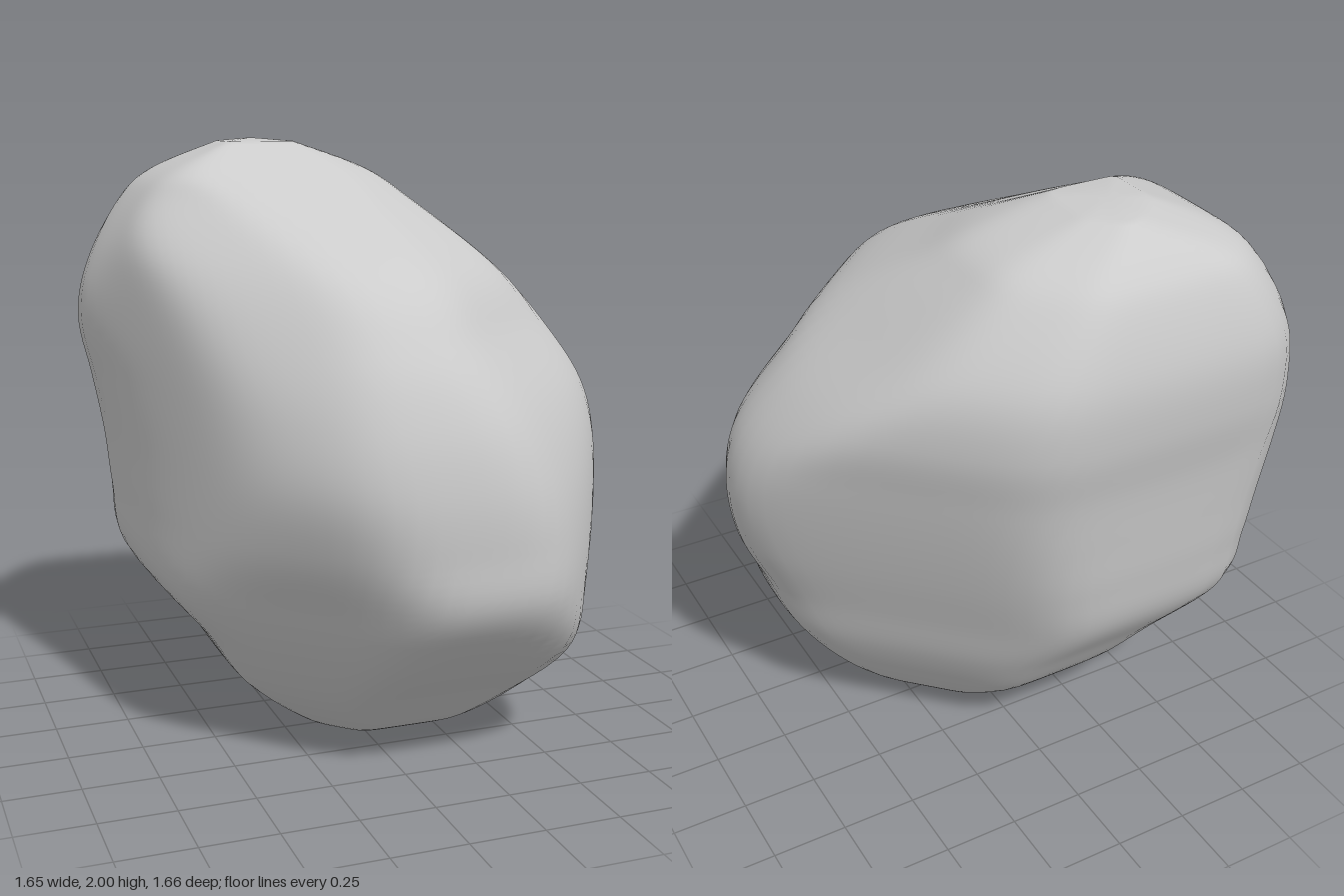
import * as THREE from 'three';

// Horizontal directions in which the boulder's reach is measured: [x, z]
const q = Math.SQRT1_2;
const DIRS = [[-1, 0], [1, 0], [0, -1], [0, 1], [-q, -q], [q, q], [-q, q], [q, -q]];

// Height, then the reach along each direction above
const LEVELS = [
  [0.01, 0.08, 0.20, 0.12, 0.10, 0.14, 0.20, 0.10, 0.12],
  [0.05, 0.20, 0.33, 0.18, 0.24, 0.27, 0.38, 0.20, 0.20],
  [0.20, 0.40, 0.50, 0.38, 0.40, 0.53, 0.63, 0.36, 0.32],
  [0.40, 0.54, 0.64, 0.53, 0.62, 0.74, 0.82, 0.50, 0.43],
  [0.60, 0.71, 0.72, 0.67, 0.79, 0.94, 0.86, 0.60, 0.50],
  [0.80, 0.74, 0.81, 0.72, 0.82, 0.98, 0.85, 0.69, 0.57],
  [1.00, 0.76, 0.845, 0.75, 0.825, 1.01, 0.80, 0.74, 0.63],
  [1.20, 0.80, 0.80, 0.78, 0.79, 1.03, 0.71, 0.72, 0.68],
  [1.40, 0.85, 0.67, 0.82, 0.70, 1.03, 0.57, 0.65, 0.72],
  [1.60, 0.78, 0.48, 0.825, 0.52, 1.01, 0.42, 0.54, 0.70],
  [1.80, 0.66, 0.28, 0.77, 0.12, 0.91, 0.10, 0.37, 0.58],
  [1.90, 0.55, 0.15, 0.70, -0.10, 0.79, -0.07, 0.27, 0.47],
  [1.99, 0.34, -0.10, 0.58, -0.28, 0.56, -0.28, 0.06, 0.28],
];

// Upright flat faces that cut every level: [x, z, reach]
const FLATS = [[-0.95, 0.31, 0.665], [0.86, 0.51, 0.83]];

const ROWS = 72, SIDES = 72, SHARPNESS = 16;

function boulderGeometry() {
  const reachCurves = DIRS.map((_, k) =>
    new THREE.SplineCurve(LEVELS.map(l => new THREE.Vector2(l[k + 1], l[0]))));
  const pos = [], index = [];
  let cx = 0, cz = 0;

  for (let i = 0; i <= ROWS; i++) {
    const pts = reachCurves.map(c => c.getPoint(i / ROWS));
    const y = pts[0].y;
    const reach = pts.map(p => p.x);
    cx = (reach[1] - reach[0]) / 2;
    cz = (reach[3] - reach[2]) / 2;
    if (i === 0) pos.push(cx, 0, cz); // bottom pole
    const planes = DIRS.map(([x, z], k) => [x, z, reach[k]]).concat(FLATS);

    // Ring: many-sided section with softly rounded corners
    for (let j = 0; j < SIDES; j++) {
      const a = (j / SIDES) * Math.PI * 2, ux = Math.cos(a), uz = Math.sin(a);
      let sum = 0;
      for (const [nx, nz, h] of planes) {
        const facing = nx * ux + nz * uz;
        const gap = Math.max(h - nx * cx - nz * cz, 0.02);
        if (facing > 0) sum += Math.pow(facing / gap, SHARPNESS);
      }
      const r = Math.pow(sum, -1 / SHARPNESS);
      pos.push(cx + ux * r, y, cz + uz * r);
    }
  }
  pos.push(cx, 2, cz); // top pole

  const at = (i, j) => 1 + i * SIDES + (j % SIDES);
  const top = pos.length / 3 - 1;
  for (let j = 0; j < SIDES; j++) {
    index.push(0, at(0, j), at(0, j + 1));
    for (let i = 0; i < ROWS; i++) {
      index.push(at(i, j), at(i + 1, j), at(i, j + 1));
      index.push(at(i, j + 1), at(i + 1, j), at(i + 1, j + 1));
    }
    index.push(top, at(ROWS, j + 1), at(ROWS, j));
  }

  const geometry = new THREE.BufferGeometry();
  geometry.setAttribute('position', new THREE.Float32BufferAttribute(pos, 3));
  geometry.setIndex(index);
  geometry.computeVertexNormals();
  return geometry;
}

export function createModel() {
  const group = new THREE.Group();
  group.name = 'rock';
  const boulder = new THREE.Mesh(
    boulderGeometry(), new THREE.MeshStandardMaterial({ color: 0xcccccc }));
  boulder.name = 'boulder';
  group.add(boulder);
  return group;
}
